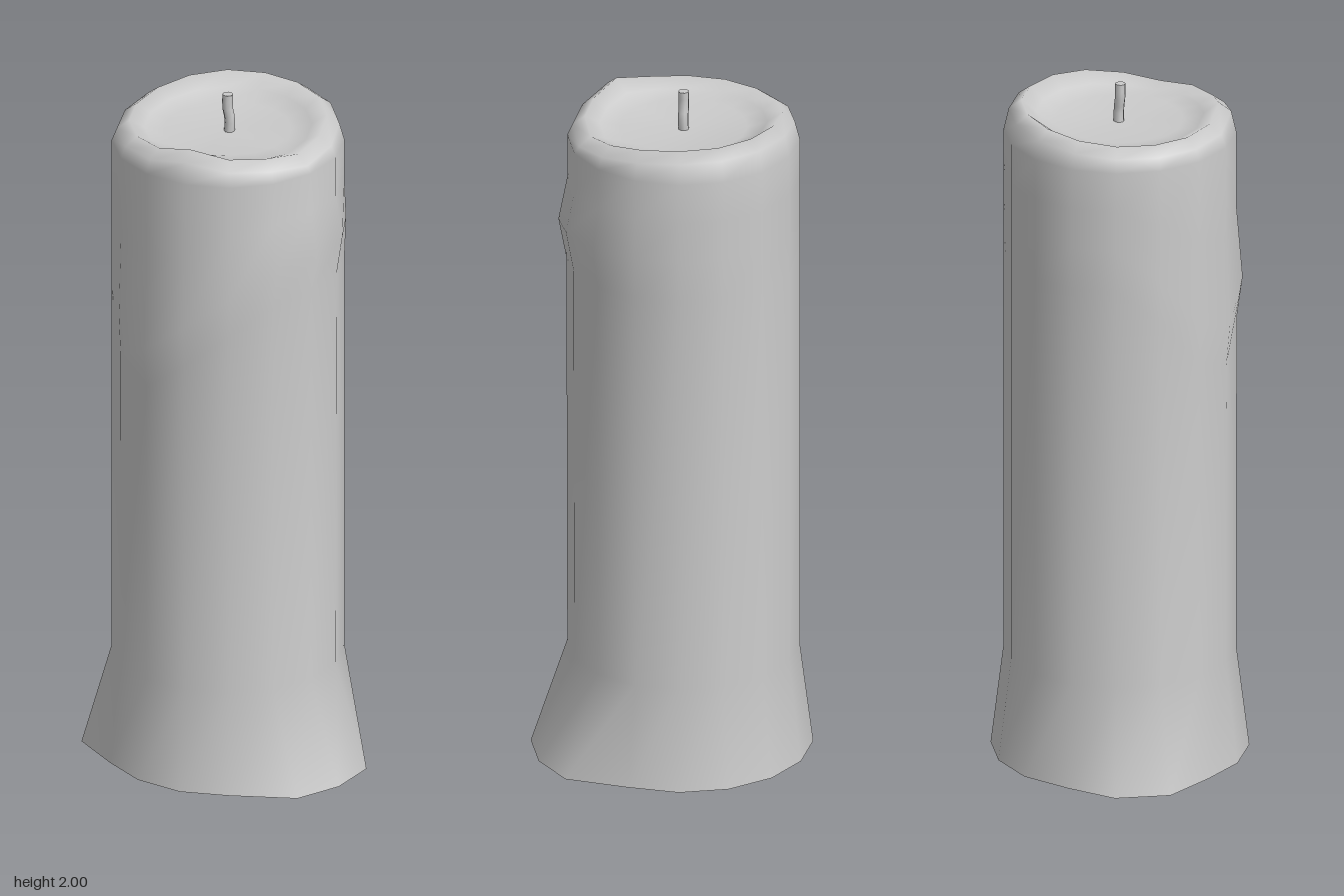
import * as THREE from 'three';

const SIDES = 16, CX = -0.035, R = 0.326;
const material = () => new THREE.MeshStandardMaterial({ color: 0xcccccc, side: THREE.DoubleSide });

// Irregular foot outline (x, z), starting at the back
const FOOT = [
  [-0.08, -0.36], [0.06, -0.35], [0.19, -0.285], [0.35, -0.19],
  [0.395, -0.055], [0.385, 0.085], [0.25, 0.225], [0.145, 0.315],
  [0.01, 0.358], [-0.13, 0.348], [-0.29, 0.322], [-0.39, 0.2],
  [-0.395, 0.05], [-0.385, -0.1], [-0.32, -0.225], [-0.215, -0.315],
];
// Uneven rim height, and the wax sag that runs down around the left front
const CREST = [1.945, 1.943, 1.935, 1.92, 1.905, 1.918, 1.925, 1.947, 1.925, 1.92, 1.92, 1.922, 1.93, 1.94, 1.947, 1.947];
const BULGE = [0, 0, 0.005, 0.02, 0.025, 0.025, 0.024, 0.018, 0.012, 0.006, 0, 0, 0, 0, 0, 0];
const DROP = [0, 0, 0, 0, 0, 0.02, 0.1, 0.2, 0.3, 0.25, 0.1, 0, 0, 0, 0, 0];

function ringPoint(i, radius, y) {
  const a = THREE.MathUtils.degToRad(-97 + i * 360 / SIDES);
  return [CX + Math.cos(a) * radius, y, Math.sin(a) * radius];
}

// Skin of wax from the open foot, over the rim and into the melted pool
function waxGeometry() {
  const rings = [
    i => [FOOT[i][0], 0, FOOT[i][1]],
    i => ringPoint(i, R, 0.3),
    i => ringPoint(i, R + BULGE[i] * 0.1, 1.5 - DROP[i]),
    i => ringPoint(i, R + BULGE[i], 1.62 - DROP[i]),
    i => ringPoint(i, R, 1.74 - DROP[i] * 0.5),
    i => ringPoint(i, R, 1.86),
    i => ringPoint(i, R - 0.014, CREST[i] - 0.026),
    i => ringPoint(i, 0.277, CREST[i]),
    i => ringPoint(i, 0.235, (CREST[i] + 1.89) / 2 - 0.005),
    i => ringPoint(i, 0.18, 1.893),
  ];
  const positions = [], index = [];
  for (const ring of rings) for (let i = 0; i < SIDES; i++) positions.push(...ring(i));
  for (let k = 0; k < rings.length - 1; k++) {
    for (let i = 0; i < SIDES; i++) {
      const n = (i + 1) % SIDES;
      const a = k * SIDES + i, b = k * SIDES + n;
      index.push(a, a + SIDES, b, b, a + SIDES, b + SIDES);
    }
  }
  // Close the pool at its centre
  const centre = positions.length / 3, last = (rings.length - 1) * SIDES;
  positions.push(CX, 1.886, 0);
  for (let i = 0; i < SIDES; i++) index.push(last + i, centre, last + (i + 1) % SIDES);

  const geometry = new THREE.BufferGeometry();
  geometry.setAttribute('position', new THREE.Float32BufferAttribute(positions, 3));
  geometry.setIndex(index);
  geometry.computeVertexNormals();
  return geometry;
}

export function createModel() {
  const model = new THREE.Group();
  model.name = 'candle';

  const wax = new THREE.Mesh(waxGeometry(), material());
  wax.name = 'waxBody';
  model.add(wax);

  // Slightly bent wick
  const path = new THREE.CatmullRomCurve3([
    new THREE.Vector3(CX, 1.87, -0.003),
    new THREE.Vector3(CX + 0.002, 1.92, -0.005),
    new THREE.Vector3(CX - 0.001, 1.96, 0.001),
    new THREE.Vector3(CX, 2, 0.001),
  ]);
  const wick = new THREE.Group();
  wick.name = 'wick';
  const stem = new THREE.Mesh(new THREE.TubeGeometry(path, 6, 0.015, 8), material());
  stem.name = 'wickStem';
  const tip = new THREE.Mesh(new THREE.CircleGeometry(0.015, 8).rotateX(-Math.PI / 2), material());
  tip.name = 'wickTip';
  tip.position.set(CX, 2, 0.001);
  wick.add(stem, tip);
  model.add(wick);

  return model;
}
